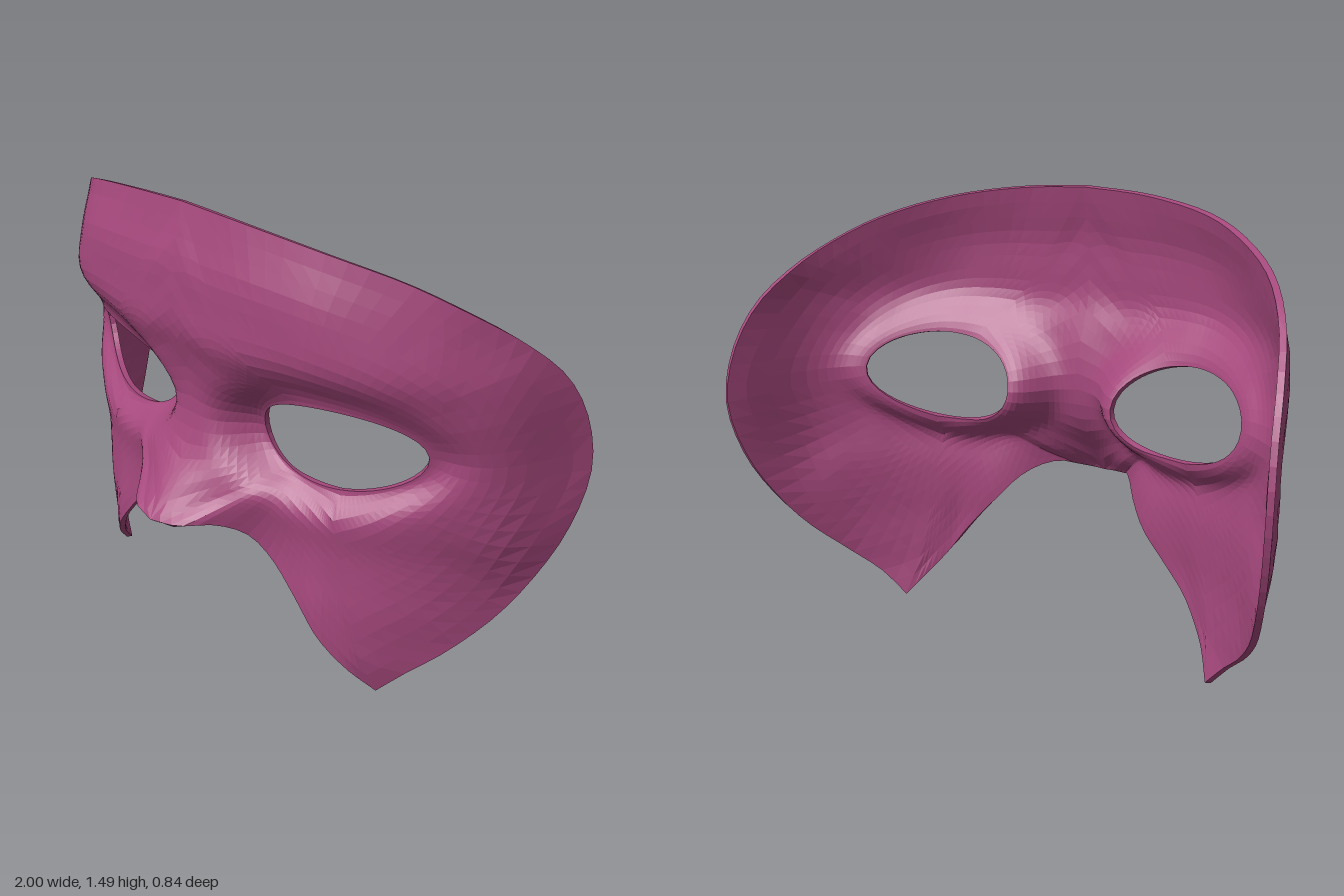
import * as THREE from 'three';

const RINGS = 14, THICK = 0.02;

// Smooth lookup in a table whose entries are 0.1 apart
function lookup(table, v) {
  const f = Math.min(Math.max(v * 10, 0), table.length - 1.001);
  const i = Math.floor(f), u = f - i;
  const at = (k) => table[Math.min(Math.max(k, 0), table.length - 1)];
  const a = at(i - 1), b = at(i), c = at(i + 1), d = at(i + 2);
  return b + 0.5 * u * (c - a + u * (2 * a - 5 * b + 4 * c - d + u * (3 * (b - c) + d - a)));
}

// Wrap around the face (by x), brow and cheek slope (by y), nose ridge (by y)
const WRAP = [0.3, 0.3, 0.295, 0.285, 0.265, 0.24, 0.195, 0.13, 0.035, -0.13, -0.415];
const SLOPE = [-0.14, -0.11, -0.1, -0.095, -0.1, -0.1, -0.085, -0.07, -0.055, -0.045, -0.03, 0, 0, -0.005, -0.03, -0.05];
const NOSE = [0.2, 0.2, 0.2, 0.2, 0.2, 0.215, 0.13, 0.045, 0, 0, 0, 0, 0, 0, 0, 0];
const relief = (x, y) =>
  lookup(WRAP, x) + lookup(SLOPE, y) + lookup(NOSE, y) * Math.exp(-((x / 0.2) ** 2));

// Edges of one half: lower edge to the cheek tip, outer side to the top, centre line back down
const LOWER = [[0, 0.505, 0.415], [0.1, 0.515, 0.39], [0.18, 0.515, 0.3], [0.24, 0.475, 0.225], [0.3, 0.4, 0.185],
  [0.39, 0.3, 0.175], [0.48, 0.19, 0.165], [0.56, 0.09, 0.115], [0.62, 0, 0.04]];
const SIDE = [[0.62, 0, 0.04], [0.7, 0.09, 0], [0.78, 0.17, -0.07], [0.87, 0.29, -0.19], [0.93, 0.42, -0.29],
  [0.975, 0.57, -0.37], [1, 0.76, -0.415], [0.99, 0.93, -0.385], [0.96, 1.08, -0.3], [0.9, 1.2, -0.17],
  [0.8, 1.3, -0.03], [0.68, 1.37, 0.07], [0.5, 1.43, 0.18], [0.25, 1.47, 0.245], [0, 1.485, 0.26]];
const CENTRE = [[0, 1.485, 0.26], [0, 1.3, 0.3], [0, 1.12, 0.3], [0, 0.95, 0.25], [0, 0.82, 0.24],
  [0, 0.7, 0.27], [0, 0.6, 0.345], [0, 0.505, 0.415]];

function sample(points, n) {
  const curve = new THREE.CatmullRomCurve3(points.map((p) => new THREE.Vector3(...p)));
  return curve.getSpacedPoints(n).slice(0, n);
}

// Point on the eye opening that faces the given outline point
function eyePoint(p) {
  const cx = 0.465, cy = 0.825, rx = 0.262, ry = 0.14;
  const a = Math.atan2((p.y - cy) / ry, (p.x - cx) / rx), c = Math.cos(a), s = Math.sin(a);
  const z = 0.055 + 0.0775 * s * s - 0.065 * c + 0.0325 * s;
  const point = new THREE.Vector3(cx + rx * c, cy + ry * s + 0.02 * c, z);
  return { point, width: s < 0 ? 0.1 + 0.04 * s : 0.1 };
}

// Half of the shell: rings running from the eye opening out to the edge, front and back
function halfGeometry() {
  const lower = sample(LOWER, 24), side = sample(SIDE, 42), centre = sample(CENTRE, 20);
  const outline = [...lower, ...side, ...centre];
  const n = outline.length, openEdge = lower.length + side.length;
  const front = [], frontIndex = [];
  const id = (i, j) => (i % n) * (RINGS + 1) + j;

  outline.forEach((edge) => {
    const { point: eye, width } = eyePoint(edge);
    const length = Math.hypot(edge.x - eye.x, edge.y - eye.y);
    const eyeShift = eye.z - relief(eye.x, eye.y);
    const edgeShift = edge.z - relief(edge.x, edge.y);
    for (let j = 0; j <= RINGS; j++) {
      const t = (j / RINGS) ** 1.4;
      const x = THREE.MathUtils.lerp(eye.x, edge.x, t);
      const y = THREE.MathUtils.lerp(eye.y, edge.y, t);
      // Sunken eye socket near the opening, bent rim near the edge
      const socket = Math.exp(-((t * length / width) ** 2)) * (1 - t * t);
      const rim = Math.exp(-(((1 - t) * length / 0.17) ** 2)) * (1 - (1 - t) ** 2);
      front.push(x, y, relief(x, y) + eyeShift * socket + edgeShift * rim);
    }
  });

  const quad = (list, a, b, c, d) => list.push(a, b, c, a, c, d);
  for (let i = 0; i < n; i++) for (let j = 0; j < RINGS; j++)
    quad(frontIndex, id(i, j), id(i, j + 1), id(i + 1, j + 1), id(i + 1, j));

  // Back surface, offset along the normals
  const surface = new THREE.BufferGeometry();
  surface.setAttribute('position', new THREE.Float32BufferAttribute(front, 3));
  surface.setIndex(frontIndex);
  surface.computeVertexNormals();
  const normal = surface.attributes.normal, total = front.length / 3, back = [];
  for (let k = 0; k < total; k++) {
    const v = new THREE.Vector3().fromBufferAttribute(normal, k);
    if (front[k * 3] < 1e-5) v.setX(0).normalize();
    back.push(front[k * 3] - v.x * THICK, Math.max(0, front[k * 3 + 1] - v.y * THICK), front[k * 3 + 2] - v.z * THICK);
  }

  const index = [...frontIndex];
  for (let k = 0; k < frontIndex.length; k += 3)
    index.push(frontIndex[k] + total, frontIndex[k + 2] + total, frontIndex[k + 1] + total);
  // Thin walls around the eye opening and along the open edge
  for (let i = 0; i < n; i++) {
    const e = id(i, 0), f = id(i + 1, 0), p = id(i, RINGS), q = id(i + 1, RINGS);
    quad(index, e, f, f + total, e + total);
    if (i < openEdge) quad(index, p, p + total, q + total, q);
  }

  const geometry = new THREE.BufferGeometry();
  geometry.setAttribute('position', new THREE.Float32BufferAttribute([...front, ...back], 3));
  geometry.setIndex(index);
  geometry.computeVertexNormals();
  return geometry;
}

// Mirror across x = 0 and turn the faces round again
function mirrored(source) {
  const geometry = source.clone().scale(-1, 1, 1);
  geometry.setIndex(Array.from(source.index.array).reverse());
  geometry.computeVertexNormals();
  return geometry;
}

export function createModel() {
  const group = new THREE.Group();
  group.name = 'mask';
  const plum = new THREE.MeshStandardMaterial({ color: 0xa5487c, flatShading: true });
  plum.name = 'plum';
  const left = halfGeometry();
  for (const [name, geometry] of [['leftHalf', left], ['rightHalf', mirrored(left)]]) {
    const mesh = new THREE.Mesh(geometry, plum);
    mesh.name = name;
    group.add(mesh);
  }
  return group;
}
